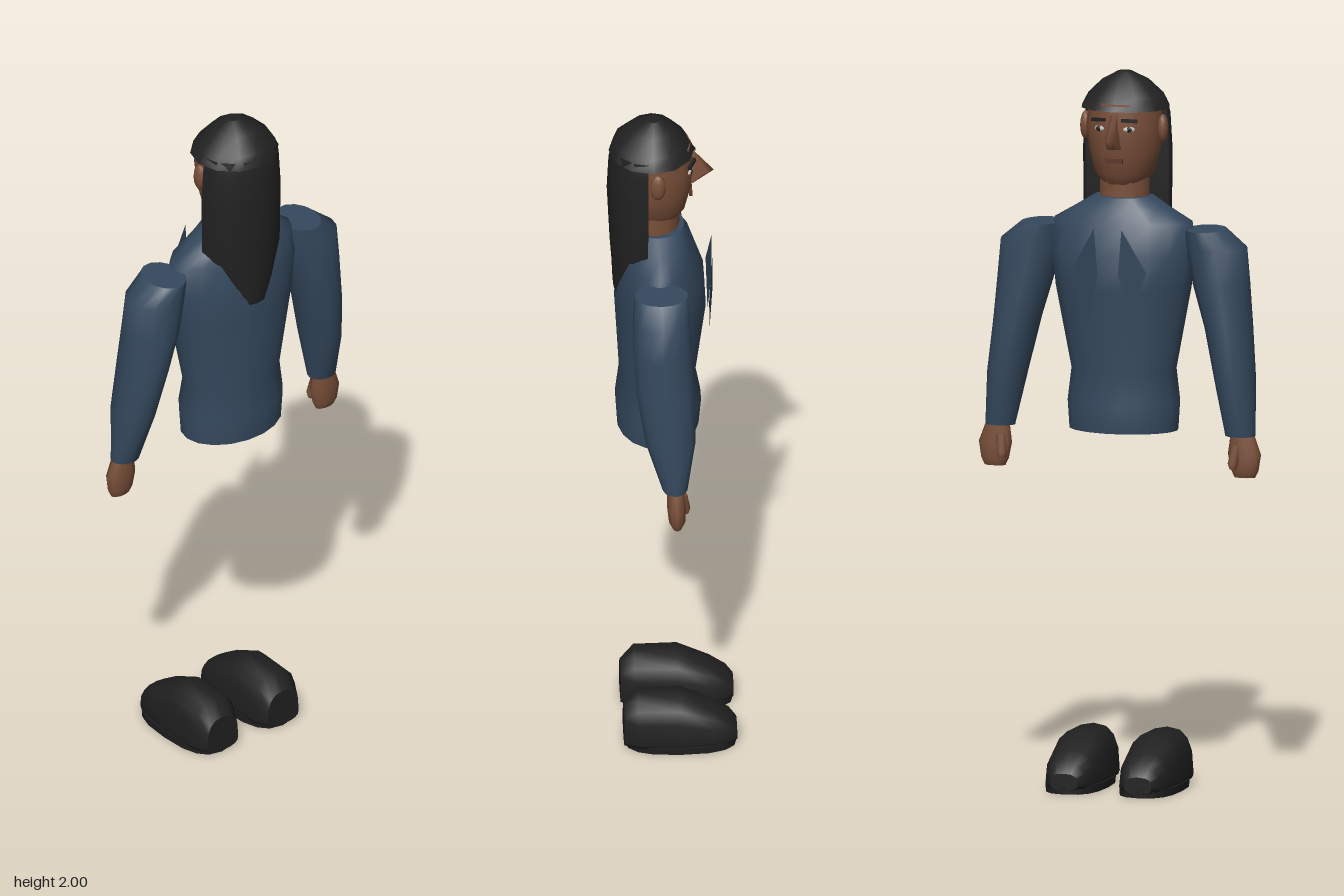
import * as THREE from 'three';

const material = (name, color, side = THREE.FrontSide) => {
  const m = new THREE.MeshStandardMaterial({ color, side });
  m.name = name;
  return m;
};

// Skin over rings [y, centreX, halfWidth, centreZ, depth towards -z, depth towards +z]
function loft(rings, sides = 14, power = 1) {
  const pos = [], index = [];
  const bend = v => Math.sign(v) * Math.abs(v) ** power;
  const point = ([y, cx, w, cz, f, b], j) => {
    const a = (j / sides) * Math.PI * 2;
    const s = bend(Math.sin(a));
    return [cx + w * bend(Math.cos(a)), y, cz + s * (s < 0 ? f : b)];
  };
  rings.forEach(r => { for (let j = 0; j < sides; j++) pos.push(...point(r, j)); });
  for (let i = 0; i < rings.length - 1; i++) {
    for (let j = 0; j < sides; j++) {
      const a = i * sides + j, b = i * sides + (j + 1) % sides;
      index.push(a, a + sides, b, b, a + sides, b + sides);
    }
  }
  // Flat end caps with their own corners
  [[rings[0], false], [rings[rings.length - 1], true]].forEach(([r, top]) => {
    const c = pos.length / 3;
    pos.push(r[1], r[0], r[3]);
    for (let j = 0; j < sides; j++) pos.push(...point(r, j));
    for (let j = 0; j < sides; j++) {
      const p = c + 1 + j, q = c + 1 + (j + 1) % sides;
      index.push(c, top ? q : p, top ? p : q);
    }
  });
  const g = new THREE.BufferGeometry();
  g.setAttribute('position', new THREE.Float32BufferAttribute(pos, 3));
  g.setIndex(index);
  g.computeVertexNormals();
  return g;
}

export function createModel() {
  const model = new THREE.Group();
  model.name = 'figure';
  const suit = material('suit blue', 0x35495e);
  const lapelCloth = material('lapel blue', 0x314458, THREE.DoubleSide);
  const skin = material('skin brown', 0x7a4f39);
  const hair = material('hair black', 0x222222);
  const leather = material('shoe black', 0x202020);
  const lip = material('lip brown', 0x5c3328);
  const white = material('eye white', 0xc8c0b8);

  const add = (name, geometry, mat, x = 0, y = 0, z = 0) => {
    const mesh = new THREE.Mesh(geometry, mat);
    mesh.name = name;
    mesh.position.set(x, y, z);
    model.add(mesh);
    return mesh;
  };

  // Jacket body
  add('torso', loft([
    [1.0, 0, 0.155, 0.04, 0.115, 0.113],
    [1.08, 0, 0.16, 0.04, 0.122, 0.118],
    [1.17, 0, 0.15, 0.04, 0.105, 0.107],
    [1.4, 0, 0.195, 0.04, 0.135, 0.12],
    [1.5, 0, 0.207, 0.04, 0.13, 0.112],
    [1.585, 0, 0.2, 0.04, 0.1, 0.095],
    [1.62, 0, 0.14, 0.04, 0.085, 0.075],
    [1.655, 0, 0.082, 0.045, 0.08, 0.06],
  ], 18), suit);

  // Neck and head
  add('neck', loft([
    [1.6, 0, 0.072, 0.05, 0.072, 0.06],
    [1.78, 0, 0.07, 0.05, 0.07, 0.06],
  ], 12), skin);
  add('head', loft([
    [1.69, 0, 0.055, 0.035, 0.055, 0.06],
    [1.72, 0, 0.083, 0.05, 0.09, 0.08],
    [1.78, 0, 0.1, 0.055, 0.11, 0.09],
    [1.85, 0, 0.108, 0.055, 0.117, 0.1],
    [1.92, 0, 0.1, 0.055, 0.108, 0.1],
  ], 16), skin);
  add('nose', loft([
    [1.795, 0, 0.022, -0.05, 0.014, 0.01],
    [1.826, 0, 0.018, -0.05, 0.067, 0.01],
    [1.89, 0, 0.01, -0.05, 0.012, 0.01],
  ], 8), skin);
  add('mouth', new THREE.BoxGeometry(0.05, 0.012, 0.009), lip, 0, 1.762, -0.052);

  // Hair cap and the long fall behind
  add('hairCap', loft([
    [1.9, 0, 0.126, 0.055, 0.118, 0.12],
    [1.935, 0, 0.108, 0.055, 0.097, 0.107],
    [1.975, 0, 0.066, 0.053, 0.06, 0.068],
    [2.0, 0, 0.02, 0.05, 0.02, 0.02],
  ], 12), hair);
  add('longHair', loft([
    [1.445, 0, 0.062, 0.1, 0.005, 0.061],
    [1.475, 0, 0.074, 0.1, 0.005, 0.064],
    [1.54, 0, 0.1, 0.085, 0.005, 0.082],
    [1.61, 0, 0.127, 0.072, 0.003, 0.1],
    [1.78, 0, 0.128, 0.07, 0.002, 0.11],
    [1.88, 0, 0.122, 0.07, 0.002, 0.105],
    [1.92, 0, 0.112, 0.07, 0.002, 0.095],
  ], 16), hair);

  for (const s of [1, -1]) {
    const side = s > 0 ? 'left' : 'right';

    // Sleeve
    add(side + 'Sleeve', loft([
      [1.0, s * 0.348, 0.043, 0.006, 0.034, 0.036],
      [1.15, s * 0.33, 0.056, 0.018, 0.07, 0.072],
      [1.3, s * 0.306, 0.066, 0.035, 0.085, 0.08],
      [1.42, s * 0.283, 0.08, 0.04, 0.085, 0.082],
      [1.52, s * 0.268, 0.087, 0.04, 0.08, 0.08],
      [1.57, s * 0.238, 0.056, 0.04, 0.075, 0.075],
    ], 14), suit);

    // Closed hand and thumb
    add(side + 'Hand', loft([
      [0.885, s * 0.362, 0.03, 0.002, 0.015, 0.015],
      [0.905, s * 0.362, 0.04, 0.002, 0.024, 0.024],
      [0.95, s * 0.361, 0.048, 0.003, 0.026, 0.028],
      [1.01, s * 0.354, 0.033, 0.005, 0.024, 0.026],
    ], 10), skin);
    add(side + 'Thumb', loft([
      [0.91, s * 0.335, 0.01, -0.022, 0.01, 0.01],
      [0.925, s * 0.335, 0.015, -0.022, 0.014, 0.014],
      [0.975, s * 0.342, 0.013, -0.015, 0.012, 0.012],
    ], 8), skin);

    // Ear, eye and brow
    const ear = add(side + 'Ear', new THREE.SphereGeometry(1, 10, 8), skin, s * 0.112, 1.845, 0.043);
    ear.scale.set(0.015, 0.04, 0.022);
    const eye = add(side + 'Eye', new THREE.SphereGeometry(1, 10, 8), white, s * 0.043, 1.852, -0.05);
    eye.scale.set(0.017, 0.008, 0.005);
    eye.rotation.y = s * -0.4;
    const pupil = add(side + 'Pupil', new THREE.SphereGeometry(1, 8, 6), leather, s * 0.043, 1.852, -0.053);
    pupil.scale.set(0.009, 0.008, 0.004);
    const brow = add(side + 'Brow', new THREE.BoxGeometry(0.045, 0.009, 0.009), hair, s * 0.045, 1.877, -0.054);
    brow.rotation.set(0, s * -0.4, s * -0.08);

    // Diamond lapel standing off the chest
    const lapel = new THREE.BufferGeometry().setFromPoints([
      new THREE.Vector3(s * 0.04, 1.58, -0.112),
      new THREE.Vector3(s * 0.108, 1.46, -0.099),
      new THREE.Vector3(s * 0.055, 1.325, -0.102),
      new THREE.Vector3(s * 0.03, 1.455, -0.112),
    ]);
    lapel.setIndex(s > 0 ? [0, 2, 3, 0, 1, 2] : [0, 3, 2, 0, 2, 1]);
    lapel.computeVertexNormals();
    add(side + 'Lapel', lapel, lapelCloth);

    // Shoe upper, lofted from toe to heel, on a thin sole
    const upper = loft([
      [-0.175, 0, 0.04, -0.03, 0.028, 0.02],
      [-0.155, 0, 0.058, -0.03, 0.055, 0.025],
      [-0.11, 0, 0.073, -0.03, 0.085, 0.025],
      [-0.02, 0, 0.081, -0.03, 0.128, 0.025],
      [0.1, 0, 0.076, -0.03, 0.128, 0.025],
      [0.138, 0, 0.055, -0.03, 0.085, 0.025],
    ], 16, 0.75);
    upper.rotateX(Math.PI / 2);
    add(side + 'Shoe', upper, leather, s * 0.107, 0, 0);
    add(side + 'Sole', loft([
      [0, 0, 0.081, -0.02, 0.156, 0.156],
      [0.022, 0, 0.083, -0.02, 0.157, 0.159],
    ], 16, 0.75), leather, s * 0.107, 0, 0);
  }
  return model;
}
